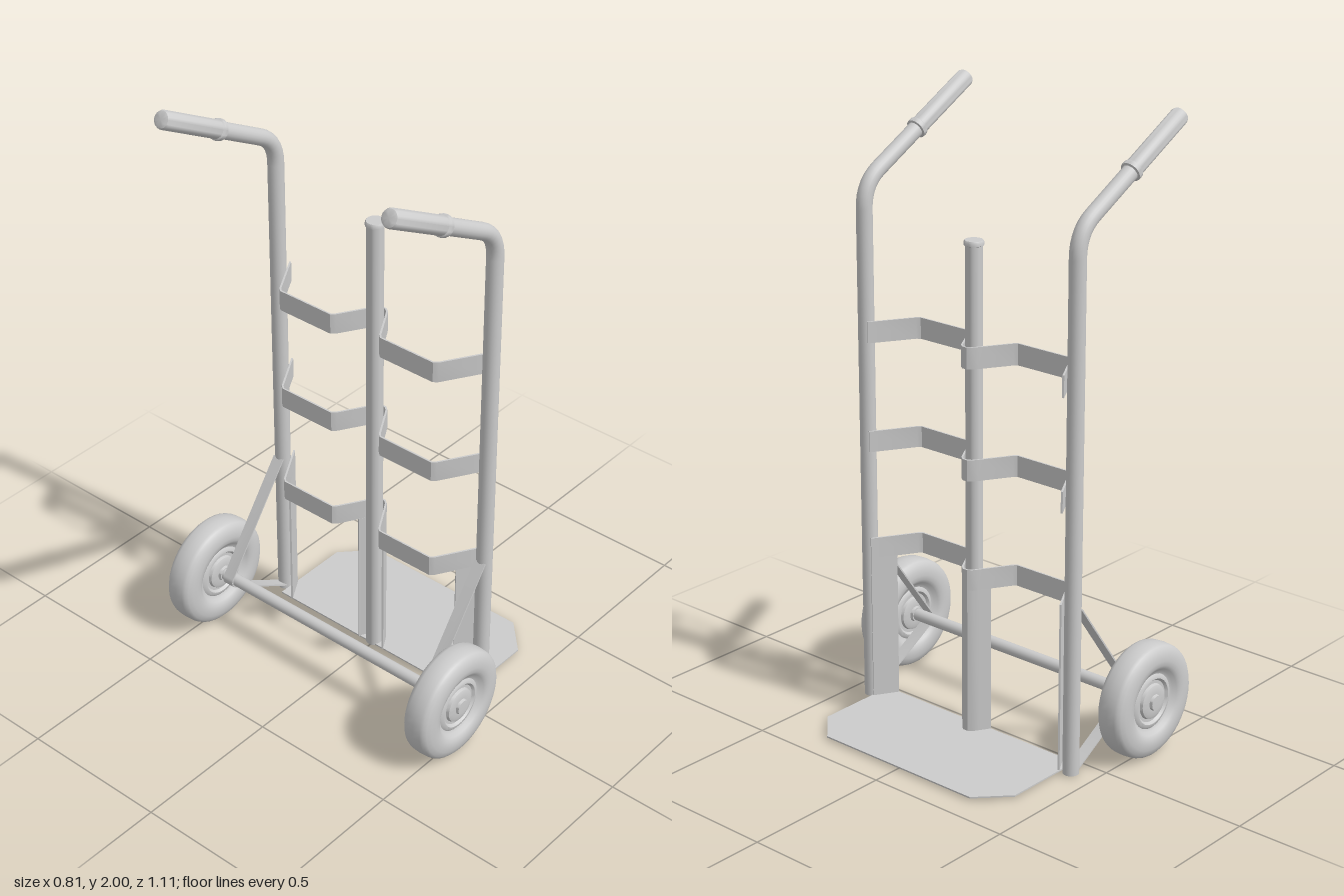
import * as THREE from 'three';
import { toCreasedNormals } from 'three/addons/utils/BufferGeometryUtils.js';

const material = new THREE.MeshStandardMaterial({ color: 0xcccccc, side: THREE.DoubleSide });
const V2 = (x, y) => new THREE.Vector2(x, y);
const V3 = (x, y, z = 0) => new THREE.Vector3(x, y, z);

function add(parent, name, geometry, x = 0, y = 0, z = 0) {
  const mesh = new THREE.Mesh(geometry, material);
  mesh.name = name;
  mesh.position.set(x, y, z);
  parent.add(mesh);
  return mesh;
}

function lathe(profile, segments = 32) {
  const g = new THREE.LatheGeometry(profile.map(([r, h]) => V2(r, h)), segments);
  return toCreasedNormals(g, 0.7);
}

// Flat strip of given thickness that follows a 2D path, extruded along z by depth
function strip(path, thickness, depth) {
  const pts = path.map(([x, y]) => V2(x, y));
  const side = (s) => pts.map((p, i) => {
    const a = p.clone().sub(pts[Math.max(i - 1, 0)]).normalize();
    const b = pts[Math.min(i + 1, pts.length - 1)].clone().sub(p).normalize();
    const d = a.add(b).normalize();
    return V2(p.x - d.y * s, p.y + d.x * s);
  });
  const outline = [...side(thickness / 2), ...side(-thickness / 2).reverse()];
  const g = new THREE.ExtrudeGeometry(new THREE.Shape(outline), { depth, bevelEnabled: false });
  return toCreasedNormals(g, 0.5);
}

// Same strip lying in plan (x, z) and standing from y0 upward
function uprightStrip(path, y0, height) {
  return strip(path.map(([x, z]) => [x, -z]), 0.006, height).rotateX(-Math.PI / 2).translate(0, y0, 0);
}

export function createModel() {
  const truck = new THREE.Group();
  truck.name = 'handTruck';

  // Toe plate with clipped front corners
  const plate = new THREE.Shape([
    V2(0.027, -0.395), V2(0.31, -0.395), V2(0.408, -0.3),
    V2(0.408, 0.3), V2(0.31, 0.395), V2(0.027, 0.395),
  ]);
  const plateGeo = new THREE.ExtrudeGeometry(plate, { depth: 0.005, bevelEnabled: false });
  add(truck, 'toePlate', plateGeo.rotateX(-Math.PI / 2), 0, 0.007, 0);

  // Centre post with a small cap
  add(truck, 'centrePost', lathe([
    [0, 0.007], [0.027, 0.007], [0.027, 1.595], [0.031, 1.597], [0.031, 1.607], [0.028, 1.612], [0, 1.612],
  ], 24), 0.045, 0, 0);

  // Cross slats: two shallow bays meeting in a nose around the post
  const bend = [[0.06, 0.031], [0.077, 0.02], [0.086, 0.008]];
  const half = [[0.1, 0.392], [-0.035, 0.311], [-0.045, 0.299], [-0.045, 0.099], [-0.035, 0.088], ...bend];
  const mirrored = (pts) => [...pts, ...pts.slice().reverse().map(([x, z]) => [x, -z])];
  for (const y of [0.497, 0.86, 1.22]) {
    add(truck, 'crossSlat', uprightStrip(mirrored(half), y, 0.069));
  }

  // Upright panels between the toe plate and the lowest slat
  add(truck, 'centrePanel', uprightStrip(mirrored([[0.026, 0.051], ...bend]), 0.008, 0.49));

  // Wheel profile from tread to hub, mirrored to the inner face
  const face = [
    [0.185, 0.026], [0.181, 0.036], [0.172, 0.044], [0.155, 0.05], [0.135, 0.052], [0.12, 0.05],
    [0.108, 0.044], [0.1, 0.034], [0.09, 0.03], [0.083, 0.035], [0.075, 0.036], [0.068, 0.028],
    [0.058, 0.028], [0.055, 0.037], [0.045, 0.041], [0.026, 0.041], [0.024, 0.05], [0, 0.051],
  ];
  const wheelProfile = [...face.slice().reverse().map(([r, h]) => [r, -h]), [0.187, 0], ...face];
  const wheelGeo = lathe(wheelProfile, 48).rotateX(Math.PI / 2);
  const axleX = -0.18, axleY = 0.187;

  // Rail centre line: upright, bend, sloping handle
  const rail = new THREE.CurvePath();
  rail.add(new THREE.LineCurve3(V3(0.075, 0.005), V3(0.075, 1.64)));
  rail.add(new THREE.QuadraticBezierCurve3(V3(0.075, 1.64), V3(0.075, 1.718), V3(0.009, 1.754)));
  rail.add(new THREE.LineCurve3(V3(0.009, 1.754), V3(-0.38, 1.968)));
  const railGeo = new THREE.TubeGeometry(rail, 110, 0.026, 20);
  const gripGeo = lathe([
    [0.026, 0], [0.033, 0.002], [0.034, 0.01], [0.033, 0.018], [0.029, 0.021],
    [0.029, 0.262], [0.026, 0.269], [0.018, 0.272], [0, 0.272],
  ], 24);

  // Strut path: from the rail, behind the axle, back to the rail foot
  const strutPath = [[0.055, 0.548]];
  for (let i = 0; i <= 6; i++) {
    const a = THREE.MathUtils.degToRad(147 + (88 * i) / 6);
    strutPath.push([axleX + 0.023 * Math.cos(a), axleY + 0.023 * Math.sin(a)]);
  }
  strutPath.push([0.06, 0.018]);
  const strutGeo = strip(strutPath, 0.005, 0.04);

  for (const s of [1, -1]) {
    const sideName = s > 0 ? 'left' : 'right';
    const z = s * 0.42;
    add(truck, sideName + 'Rail', railGeo, 0, 0, z);
    add(truck, sideName + 'RailFoot', new THREE.CylinderGeometry(0.026, 0.026, 0.01, 20), 0.075, 0.008, z);
    const grip = add(truck, sideName + 'Grip', gripGeo, -0.158, 1.846, z);
    grip.rotation.z = Math.atan2(0.389, 0.214);
    add(truck, sideName + 'Strut', strutGeo, 0, 0, z - 0.02);
    add(truck, sideName + 'Panel', uprightStrip([[0.1, s * 0.392], [0.026, s * 0.3476]], 0.008, 0.49));
    add(truck, sideName + 'Wheel', wheelGeo, axleX, axleY, s * 0.502);
  }

  // Axle joining the wheels
  add(truck, 'axle', new THREE.CylinderGeometry(0.02, 0.02, 1.0, 20).rotateX(Math.PI / 2), axleX, axleY, 0);

  return truck;
}
